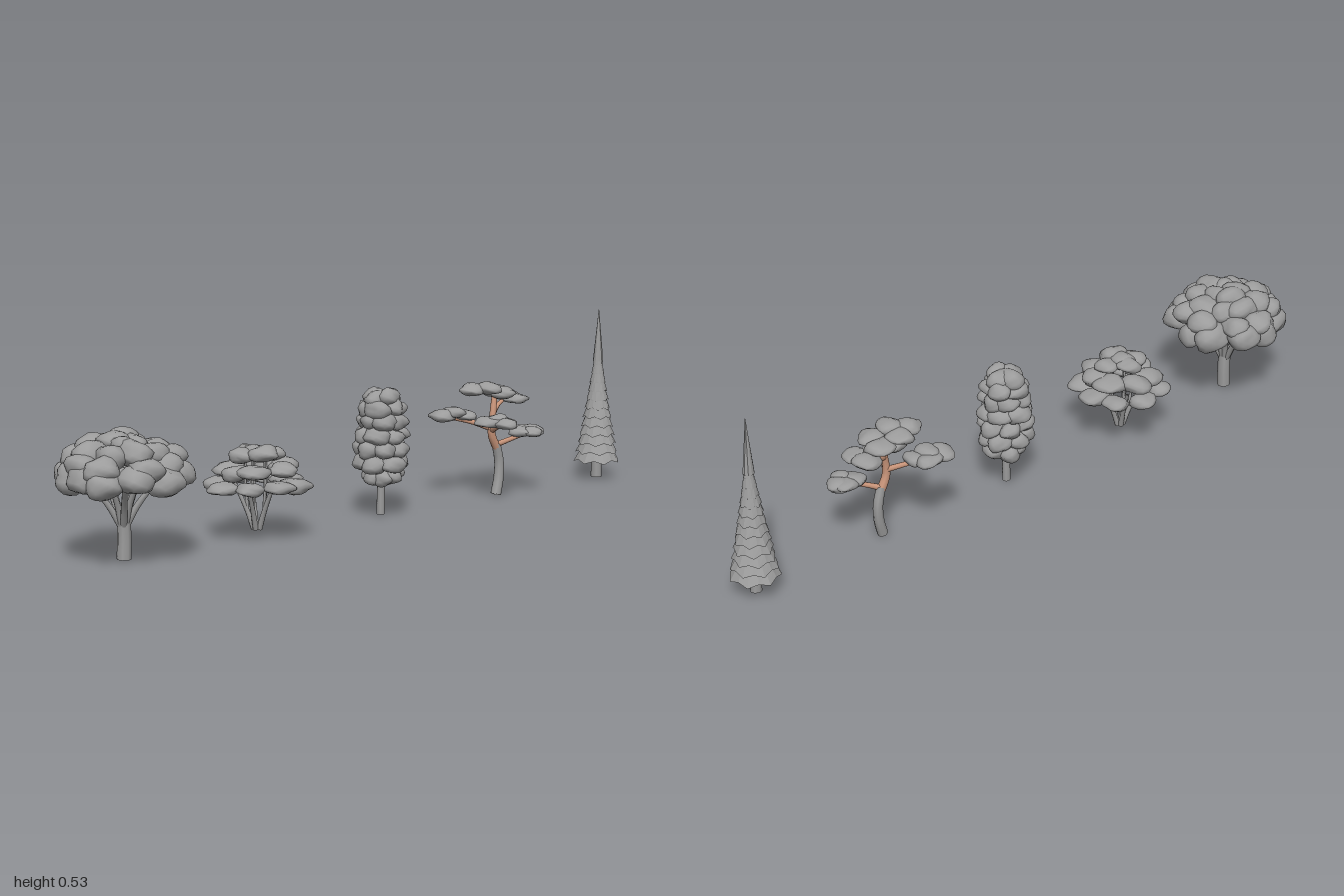
import * as THREE from 'three';
import { mergeVertices } from 'three/addons/utils/BufferGeometryUtils.js';

const foliage = new THREE.MeshStandardMaterial({ color: 0x9c9c9c });
foliage.name = 'foliage grey';
const bark = new THREE.MeshStandardMaterial({ color: 0x9c9c9c });
bark.name = 'bark grey';
const tanBark = new THREE.MeshStandardMaterial({ color: 0xc9957a });
tanBark.name = 'tan bark';
const needles = new THREE.MeshStandardMaterial({ color: 0x9c9c9c, side: THREE.DoubleSide, flatShading: true });
needles.name = 'needle grey';

let seed = 7;
const rnd = () => (seed = (seed * 16807) % 2147483647) / 2147483647;
const jit = (a) => (rnd() - 0.5) * 2 * a;

function add(group, geometry, material, name) {
  const mesh = new THREE.Mesh(geometry, material);
  mesh.name = name;
  group.add(mesh);
  return mesh;
}

// Lumpy leaf clump with a flatter underside
function clump(group, x, y, z, rx, ry, rz = rx, name = 'leafClump') {
  const raw = new THREE.IcosahedronGeometry(1, 2);
  raw.deleteAttribute('uv');
  raw.deleteAttribute('normal');
  const g = mergeVertices(raw, 1e-4);
  const p = g.attributes.position;
  const a = rnd() * 6.28, b = rnd() * 6.28, c = rnd() * 6.28;
  for (let i = 0; i < p.count; i++) {
    const X = p.getX(i), Y = p.getY(i), Z = p.getZ(i);
    const f = 1 + 0.1 * Math.sin(3.2 * X + a) + 0.09 * Math.sin(4 * Z + b) + 0.07 * Math.sin(5 * Y + 3 * X + c);
    p.setXYZ(i, X * f * rx, Y * f * ry * (Y < 0 ? 0.8 : 1), Z * f * rz);
  }
  g.computeVertexNormals();
  add(group, g, foliage, name).position.set(x, y, z);
}

// Ring of clumps around the y axis
function ring(group, n, radius, y, rx, ry, phase = 0, wobble = 0.008) {
  for (let i = 0; i < n; i++) {
    const a = phase + (i / n) * Math.PI * 2 + jit(0.12);
    const r = radius + jit(wobble), s = 1 + jit(0.12);
    clump(group, Math.cos(a) * r, y + jit(wobble), Math.sin(a) * r, rx * s, ry * s);
  }
}

// Tapered limb with rounded ends
function limb(group, pts, r0, r1, name, material = bark) {
  const curve = new THREE.CatmullRomCurve3(pts.map((q) => new THREE.Vector3(...q)));
  const n = 12, sides = 8;
  const g = new THREE.TubeGeometry(curve, n, 1, sides);
  const p = g.attributes.position, v = new THREE.Vector3();
  for (let i = 0; i <= n; i++) {
    const c = curve.getPointAt(i / n);
    const r = i === 0 || i === n ? 0.0005 : THREE.MathUtils.lerp(r0, r1, i / n);
    // pull the second ring toward each end so the cap stays short
    const cap = i === 1 ? curve.getPointAt(0.2 / n) : i === n - 1 ? curve.getPointAt(1 - 0.2 / n) : c;
    for (let j = 0; j <= sides; j++) {
      const k = i * (sides + 1) + j;
      v.fromBufferAttribute(p, k).sub(c).multiplyScalar(r).add(cap);
      p.setXYZ(k, v.x, v.y, v.z);
    }
  }
  add(group, g, material, name);
}

function tree(root, name, x) {
  const g = new THREE.Group();
  g.name = name;
  g.position.x = x;
  root.add(g);
  return g;
}

function broadTree(root) {
  const t = tree(root, 'broadTree', -0.81);
  limb(t, [[0, 0, 0], [0.002, 0.06, 0], [0, 0.14, 0]], 0.02, 0.018, 'trunk');
  for (let i = 0; i < 9; i++) {
    const a = i * 0.698, r = i % 2 ? 0.1 : 0.06;
    const c = Math.cos(a), s = Math.sin(a);
    limb(t, [[c * 0.006, 0.09, s * 0.006], [c * r * 0.4, 0.15, s * r * 0.4], [c * r, 0.225, s * r]], 0.01, 0.006, 'branch');
  }
  ring(t, 11, 0.138, 0.225, 0.046, 0.044, 0.1);
  ring(t, 9, 0.125, 0.262, 0.046, 0.036, 0.4);
  ring(t, 8, 0.078, 0.29, 0.046, 0.035, 0.2);
  ring(t, 6, 0.07, 0.235, 0.042, 0.032, 0.5);
  ring(t, 4, 0.03, 0.308, 0.042, 0.032, 0.6);
}

function layeredShrub(root) {
  const t = tree(root, 'layeredShrub', -0.375);
  for (let i = 0; i < 5; i++) {
    const a = 0.1 + i * 1.257, c = Math.cos(a), s = Math.sin(a);
    limb(t, [[c * 0.008, 0.02, s * 0.008], [c * 0.025, 0.07, s * 0.025], [c * 0.06, 0.15, s * 0.06]], 0.008, 0.005, 'stem');
    limb(t, [[c * 0.025, 0.07, s * 0.025], [c * 0.03, 0.14, s * 0.03], [c * 0.03, 0.22, s * 0.03]], 0.005, 0.003, 'innerStem');
  }
  ring(t, 8, 0.105, 0.145, 0.041, 0.021, 0.0, 0.006);
  ring(t, 7, 0.078, 0.187, 0.042, 0.022, 0.4, 0.006);
  ring(t, 4, 0.042, 0.23, 0.038, 0.022, 0.3, 0.005);
  clump(t, 0, 0.235, 0, 0.035, 0.02);
}

function columnTree(root) {
  const t = tree(root, 'columnTree', 0.07);
  limb(t, [[-0.004, 0, 0], [-0.003, 0.06, 0], [0, 0.15, 0]], 0.012, 0.01, 'trunk');
  const rows = [[0.112, 0.03], [0.15, 0.043], [0.19, 0.047], [0.23, 0.045], [0.27, 0.041], [0.305, 0.036], [0.335, 0.022]];
  rows.forEach(([y, r], i) => ring(t, i > 5 ? 4 : 6, r, y, 0.034, 0.028, i * 0.5, 0.004));
}

function cloudPine(root) {
  const t = tree(root, 'cloudPine', 0);
  limb(t, [[0.508, 0, 0.005], [0.522, 0.05, 0.002], [0.525, 0.1, 0], [0.512, 0.155, 0]], 0.016, 0.013, 'trunk');
  limb(t, [[0.515, 0.14, 0], [0.494, 0.185, 0], [0.498, 0.24, 0], [0.515, 0.305, -0.01]], 0.013, 0.008, 'upperTrunk', tanBark);
  limb(t, [[0.512, 0.15, 0], [0.55, 0.165, 0.02], [0.605, 0.182, 0.04]], 0.009, 0.005, 'rightBranch', tanBark);
  limb(t, [[0.495, 0.2, 0], [0.45, 0.22, -0.04], [0.39, 0.235, -0.08]], 0.009, 0.005, 'backBranch', tanBark);
  limb(t, [[0.495, 0.195, 0], [0.475, 0.21, 0.04], [0.46, 0.225, 0.08]], 0.009, 0.005, 'frontBranch', tanBark);
  limb(t, [[0.498, 0.24, 0], [0.55, 0.265, -0.03], [0.59, 0.285, -0.03]], 0.008, 0.005, 'topBranch', tanBark);
  // Foliage pads: x, y, z, radius
  const pads = [
    [0.375, 0.24, -0.08, 0.042], [0.42, 0.242, -0.095, 0.036], [0.435, 0.237, -0.055, 0.034], [0.4, 0.25, -0.065, 0.034],
    [0.43, 0.233, 0.055, 0.04], [0.485, 0.228, 0.06, 0.036], [0.455, 0.23, 0.097, 0.037], [0.45, 0.242, 0.07, 0.032],
    [0.575, 0.185, 0.035, 0.035], [0.625, 0.184, 0.04, 0.036], [0.6, 0.186, 0.062, 0.033], [0.615, 0.19, 0.02, 0.03],
    [0.43, 0.318, -0.02, 0.04], [0.475, 0.322, 0.01, 0.04], [0.48, 0.315, -0.045, 0.037], [0.53, 0.305, 0.015, 0.04],
    [0.54, 0.303, -0.04, 0.04], [0.59, 0.283, -0.05, 0.038], [0.595, 0.28, 0, 0.036],
  ];
  pads.forEach(([x, y, z, r]) => clump(t, x, y, z, r, r * 0.48, r, 'foliagePad'));
}

function spireTree(root) {
  const t = tree(root, 'spireTree', 0.935);
  limb(t, [[0, 0, 0], [0, 0.05, 0], [0, 0.1, 0]], 0.017, 0.014, 'trunk');
  const tiers = 13, sides = 14;
  const radius = (u) => 0.062 * Math.pow(1 - u, 1.05) + 0.006;
  for (let i = 0; i < tiers; i++) {
    const u = i / tiers, y = 0.054 + 0.35 * u, h = 0.052;
    const r0 = radius(u), r1 = radius(u + 1 / tiers) * 0.72;
    const g = new THREE.CylinderGeometry(r1, r0, h, sides, 2, true);
    const p = g.attributes.position;
    for (let k = 0; k < p.count; k++) {
      const row = Math.floor(k / (sides + 1)), col = (k % (sides + 1)) % sides;
      // concave flare in the middle, jagged hem at the bottom
      if (row === 1) p.setXYZ(k, p.getX(k) * 0.94, p.getY(k), p.getZ(k) * 0.94);
      if (row === 2) {
        const f = col % 2 ? 1.04 : 0.95;
        p.setXYZ(k, p.getX(k) * f, p.getY(k) + (col % 2 ? -0.004 : 0.005) * (1 - 0.5 * u), p.getZ(k) * f);
      }
    }
    const m = add(t, g, needles, 'needleTier');
    m.position.y = y + h / 2;
    m.rotation.y = i * 0.7;
  }
  const tip = add(t, new THREE.ConeGeometry(0.016, 0.165, 10, 1, true), needles, 'tip');
  tip.position.y = 0.4425;
}

export function createModel() {
  seed = 7;
  const root = new THREE.Group();
  root.name = 'treeRow';
  broadTree(root);
  layeredShrub(root);
  columnTree(root);
  cloudPine(root);
  spireTree(root);
  return root;
}
